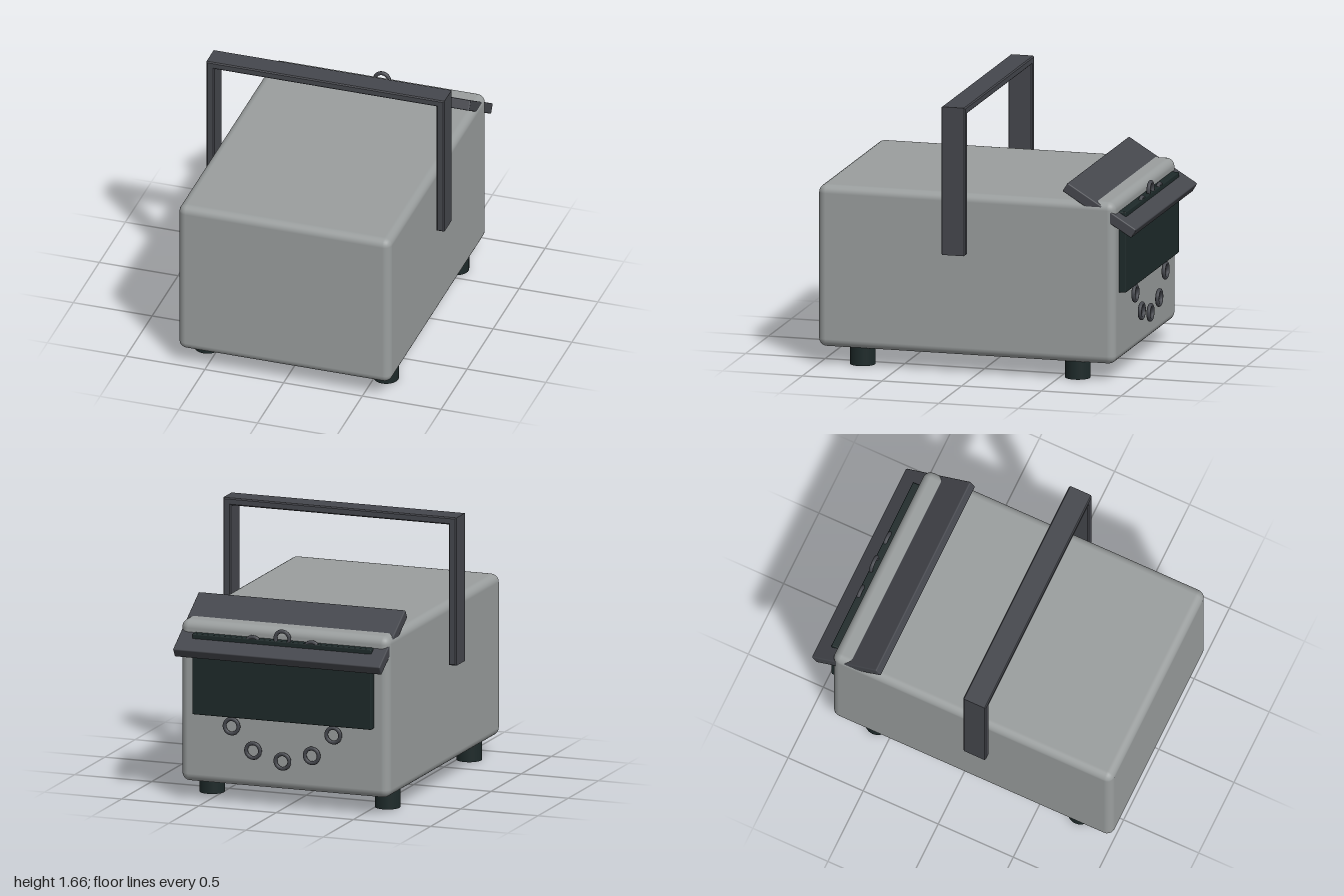
import * as THREE from 'three';
import { RoundedBoxGeometry } from 'three/addons/geometries/RoundedBoxGeometry.js';

export function createModel() {
  const model = new THREE.Group();
  const material = (name, color) => {
    const m = new THREE.MeshStandardMaterial({ color });
    m.name = name;
    return m;
  };
  const casing = material('casing grey', 0x9a9e9e);
  const trim = material('trim charcoal', 0x45474d);
  const dark = material('rubber black', 0x1e2a2a);

  const add = (name, geometry, mat, x, y, z) => {
    const mesh = new THREE.Mesh(geometry, mat);
    mesh.name = name;
    mesh.position.set(x, y, z);
    model.add(mesh);
    return mesh;
  };

  // Rounded main case
  add('case', new RoundedBoxGeometry(1.35, 1, 1.865, 3, 0.05), casing, 0, 0.61, 0.0675);

  // Carrying handle: a square U, extruded with a small bevel
  const b = 0.007;
  const w = 0.755 - b, inner = 0.705 + b, bottom = 0.745 + b, top = 1.66 - b, under = 1.615 + b;
  const outline = new THREE.Shape([
    [-w, bottom], [-inner, bottom], [-inner, under], [inner, under],
    [inner, bottom], [w, bottom], [w, top], [-w, top],
  ].map(([x, y]) => new THREE.Vector2(x, y)));
  const handle = new THREE.ExtrudeGeometry(outline, {
    depth: 0.15 - 2 * b, bevelEnabled: true, bevelSize: b, bevelThickness: b, bevelSegments: 1,
  });
  add('handle', handle, trim, 0, 0, 0.05 + b);

  // Tilted flap through the top rear edge
  const flap = add('flap', new RoundedBoxGeometry(1.34, 0.063, 0.505, 2, 0.008), trim, 0, 1.06, -0.768);
  flap.rotation.x = -0.55;

  // Rear panel
  add('rearPanel', new RoundedBoxGeometry(1.16, 0.5, 0.06, 2, 0.008), dark, 0, 0.79, -0.88);

  // Circle of rings, partly hidden by the rear panel
  const ring = new THREE.TorusGeometry(0.045, 0.012, 10, 28);
  for (let i = 0; i < 12; i++) {
    const a = (i * Math.PI) / 6;
    add('ring', ring, trim, 0.38 * Math.sin(a), 0.675 + 0.38 * Math.cos(a), -0.897);
  }

  // Four feet
  const foot = new THREE.CylinderGeometry(0.077, 0.077, 0.12, 32);
  for (const x of [-0.568, 0.568]) {
    for (const z of [0.745, -0.605]) add('foot', foot, dark, x, 0.06, z);
  }

  return model;
}
